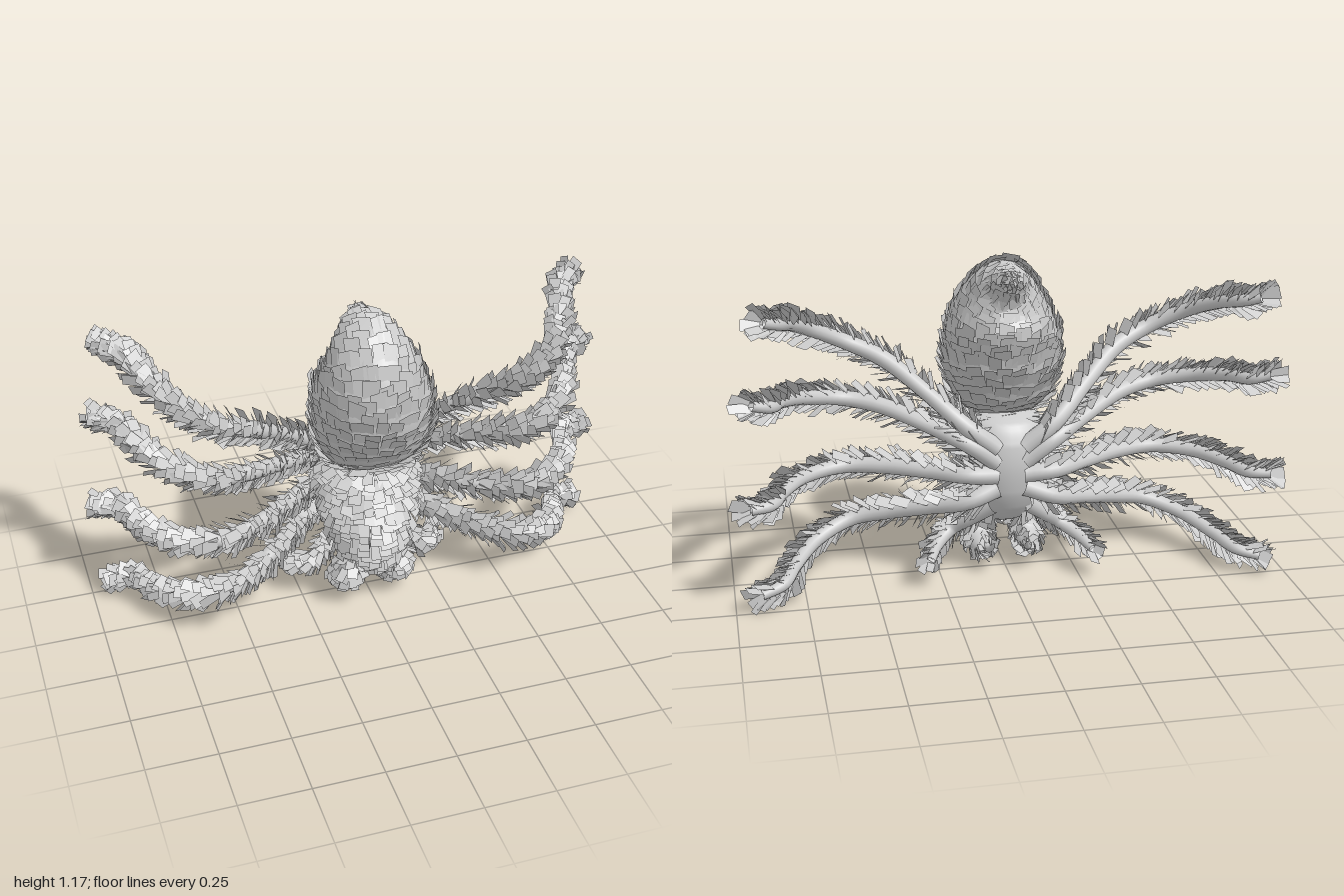
import * as THREE from 'three';
import { ParametricGeometry } from 'three/addons/geometries/ParametricGeometry.js';

const skin = new THREE.MeshStandardMaterial({ color: 0xcccccc });
const fur = new THREE.MeshStandardMaterial({ color: 0xcccccc, side: THREE.DoubleSide });
const V = (x, y, z) => new THREE.Vector3(x, y, z);

// Small seeded generator, returns -1..1
let seed = 7;
const jitter = () => {
  seed = (seed * 16807) % 2147483647;
  return (seed / 2147483647) * 2 - 1;
};

// Lofted surface: point(angle, t) on ellipses swept along a path; angle PI/2 is the furry +z side
function loft(points, radii, axis) {
  const path = new THREE.CatmullRomCurve3(points);
  const size = new THREE.CatmullRomCurve3(radii.map(([a, b]) => V(a, b, 0)));
  return (angle, t) => {
    const T = axis || path.getTangent(t);
    const S = T.clone().cross(V(0, 0, 1)).normalize();
    const U = S.clone().cross(T);
    const r = size.getPoint(t);
    return path.getPoint(t)
      .addScaledVector(S, Math.max(r.x, 0.003) * Math.cos(angle))
      .addScaledVector(U, Math.max(r.y, 0.003) * Math.sin(angle));
  };
}

function core(point, name, slices = 16, stacks = 32) {
  const geo = new ParametricGeometry((u, v, out) => out.copy(point(-u * Math.PI * 2, v)), slices, stacks);
  const mesh = new THREE.Mesh(geo, skin);
  mesh.name = name;
  return mesh;
}

// Rows of flat cards growing along t, lifted off the surface by a tilt
function furCoat(point, name, { rows, arc, width, length, tilt, from = 0, to = 1, gap = 0.8 }) {
  const pos = [];
  const e = 0.004;
  for (let i = 0; i < rows; i++) {
    const t = from + (to - from) * (i + 0.5) / rows;
    let girth = 0;
    for (let k = 0; k < 24; k++) {
      girth += point(Math.PI / 2 + arc * (k / 24 - 0.5), t).distanceTo(point(Math.PI / 2 + arc * ((k + 1) / 24 - 0.5), t));
    }
    const count = Math.max(5, Math.round(girth / (width * gap)));
    for (let j = 0; j < count; j++) {
      const a = Math.PI / 2 + arc * ((j + 0.5 * (i % 2) + 0.25 + 0.2 * jitter()) / count - 0.5);
      const tt = THREE.MathUtils.clamp(t + jitter() * 0.3 / rows, e, 1 - e);
      const p = point(a, tt);
      const grow = point(a, tt + e).sub(point(a, tt - e)).normalize();
      const around = point(a + 0.05, tt).sub(point(a - 0.05, tt)).normalize();
      const n = grow.clone().cross(around).normalize();
      // keep the normal pointing away from the axis
      if (n.dot(p.clone().sub(point(a + Math.PI, tt))) < 0) n.negate();
      const lift = tilt * (1 + 0.35 * jitter());
      const dir = grow.clone().multiplyScalar(Math.cos(lift)).addScaledVector(n, Math.sin(lift));
      const side = grow.clone().cross(n).applyAxisAngle(n, 0.3 * jitter());
      const w = width * (1 + 0.2 * jitter()) / 2;
      const l = length * (1 + 0.2 * jitter());
      p.addScaledVector(n, -0.002);
      const c = [[-w, 0], [w, 0], [w, l], [-w, l]].map(([x, y]) =>
        p.clone().addScaledVector(side, x).addScaledVector(dir, y));
      for (const k of [0, 1, 2, 0, 2, 3]) pos.push(c[k].x, c[k].y, c[k].z);
    }
  }
  const geo = new THREE.BufferGeometry();
  geo.setAttribute('position', new THREE.Float32BufferAttribute(pos, 3));
  geo.computeVertexNormals();
  const mesh = new THREE.Mesh(geo, fur);
  mesh.name = name;
  return mesh;
}

export function createModel() {
  const spider = new THREE.Group();
  spider.name = 'spider';
  const part = (name, ...meshes) => {
    const g = new THREE.Group();
    g.name = name;
    g.add(...meshes);
    spider.add(g);
  };

  // Abdomen, its tip curling over to the back: [y, z, half width, half depth]
  const abdomenRows = [
    [0.575, 0.08, 0.01, 0.01], [0.6, 0.075, 0.12, 0.085], [0.66, 0.07, 0.18, 0.15],
    [0.76, 0.07, 0.212, 0.195], [0.87, 0.07, 0.21, 0.212], [0.97, 0.055, 0.175, 0.19],
    [1.045, 0.01, 0.12, 0.128], [1.085, -0.05, 0.065, 0.06], [1.11, -0.1, 0.012, 0.012],
  ];
  const abdomen = loft(abdomenRows.map(([y, z]) => V(0, y, z)), abdomenRows.map(([, , w, d]) => [w, d]));
  part('abdomen', core(abdomen, 'abdomenCore', 32, 40),
    furCoat(abdomen, 'abdomenFur', { rows: 22, arc: Math.PI * 2, width: 0.054, length: 0.058, tilt: 0.25, from: 0.06, to: 0.97 }));

  // Head and thorax, fur growing down to the head, bare on the underside: [y, half width, front z, back z]
  const thoraxRows = [
    [0.62, 0.06, 0.1, 0], [0.58, 0.13, 0.14, -0.1], [0.52, 0.16, 0.165, -0.135],
    [0.43, 0.168, 0.185, -0.145], [0.33, 0.15, 0.185, -0.13], [0.25, 0.122, 0.17, -0.09],
    [0.19, 0.085, 0.14, -0.03], [0.17, 0.01, 0.1, 0.05],
  ];
  const thorax = loft(thoraxRows.map(([y, , f, b]) => V(0, y, (f + b) / 2)),
    thoraxRows.map(([, w, f, b]) => [w, (f - b) / 2]), V(0, -1, 0));
  part('thorax', core(thorax, 'thoraxCore', 28, 32),
    furCoat(thorax, 'thoraxFur', { rows: 18, arc: 5, width: 0.042, length: 0.056, tilt: 0.55, from: 0.08, to: 0.96 }));

  // Leg paths: [x, y, z] from hip to foot
  const legs = [
    [[0.05, 0.5, -0.11], [0.16, 0.59, -0.115], [0.29, 0.7, -0.03], [0.43, 0.805, 0.07], [0.56, 0.865, 0.105],
      [0.68, 0.93, 0.05], [0.76, 0.99, -0.08], [0.81, 1.025, -0.2], [0.865, 1.045, -0.25]],
    [[0.05, 0.45, -0.11], [0.16, 0.53, -0.12], [0.29, 0.58, -0.035], [0.44, 0.63, 0.065], [0.58, 0.655, 0.105],
      [0.71, 0.685, 0.04], [0.8, 0.72, -0.09], [0.85, 0.74, -0.21], [0.915, 0.76, -0.25]],
    [[0.05, 0.4, -0.11], [0.16, 0.41, -0.12], [0.29, 0.405, -0.035], [0.44, 0.4, 0.065], [0.58, 0.395, 0.105],
      [0.72, 0.39, 0.04], [0.81, 0.385, -0.09], [0.86, 0.385, -0.21], [0.935, 0.385, -0.25]],
    [[0.05, 0.35, -0.11], [0.16, 0.31, -0.12], [0.29, 0.265, -0.035], [0.43, 0.22, 0.065], [0.56, 0.185, 0.105],
      [0.69, 0.14, 0.04], [0.78, 0.1, -0.09], [0.83, 0.08, -0.2], [0.91, 0.06, -0.24]],
  ];
  const legRadii = [0.036, 0.032, 0.028, 0.031, 0.029, 0.026, 0.024, 0.022, 0.017].map((r) => [r, r]);

  for (const s of [1, -1]) {
    const label = s > 0 ? 'left' : 'right';
    const at = (list) => list.map(([x, y, z]) => V(s * x, y, z));

    legs.forEach((pts, i) => {
      const leg = loft(at(pts), legRadii);
      part(`${label}Leg${i + 1}`, core(leg, 'legCore', 12, 48),
        furCoat(leg, 'legFur', { rows: 40, arc: 4, width: 0.042, length: 0.062, tilt: 0.6, from: 0.07, gap: 0.55 }));
    });

    // Feeler beside the jaws
    const feeler = loft(at([[0.06, 0.28, -0.1], [0.14, 0.21, -0.04], [0.2, 0.16, 0], [0.26, 0.125, -0.05], [0.3, 0.1, -0.15]]),
      [0.03, 0.027, 0.026, 0.024, 0.016].map((r) => [r, r]));
    part(`${label}Feeler`, core(feeler, 'feelerCore', 12, 24),
      furCoat(feeler, 'feelerFur', { rows: 15, arc: 4.2, width: 0.036, length: 0.048, tilt: 0.6, from: 0.15, gap: 0.6 }));

    // Jaw with a bare fang
    const jaw = loft(at([[0.07, 0.24, 0.08], [0.085, 0.17, 0.09], [0.092, 0.11, 0.06], [0.088, 0.085, 0], [0.08, 0.08, -0.05]]),
      [[0.03, 0.03], [0.05, 0.05], [0.052, 0.045], [0.04, 0.035], [0.005, 0.005]]);
    const fang = loft(at([[0.08, 0.09, -0.02], [0.07, 0.1, -0.08], [0.06, 0.14, -0.12]]),
      [[0.018, 0.018], [0.013, 0.013], [0.002, 0.002]]);
    part(`${label}Jaw`, core(jaw, 'jawCore', 16, 20), core(fang, 'fang', 10, 12),
      furCoat(jaw, 'jawFur', { rows: 11, arc: 5, width: 0.036, length: 0.044, tilt: 0.5, from: 0.1, to: 0.95 }));
  }
  return spider;
}
